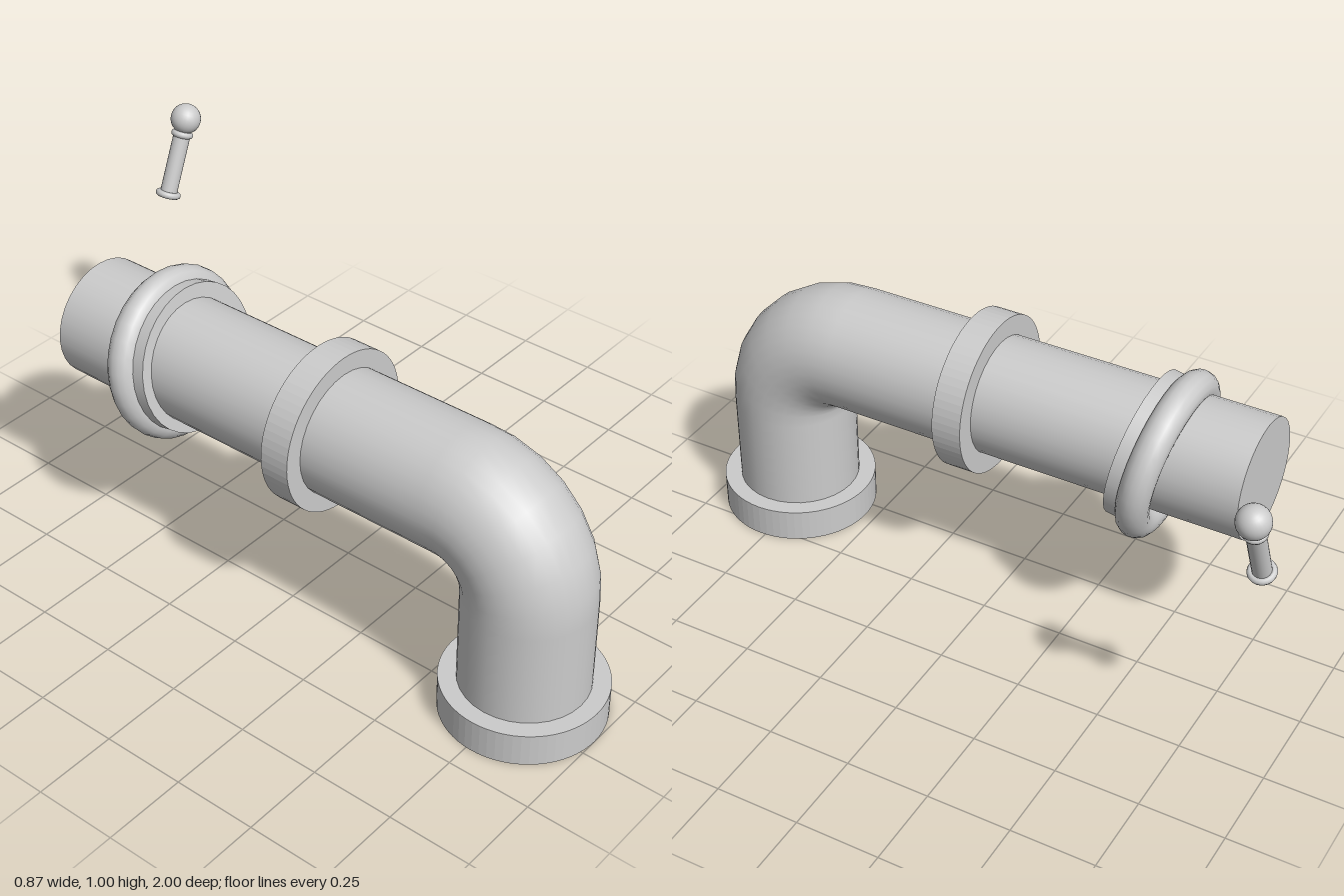
import * as THREE from 'three';

const material = new THREE.MeshStandardMaterial({ color: 0xcccccc, side: THREE.DoubleSide });

function addPart(parent, name, geometry, x = 0, y = 0, z = 0) {
  const mesh = new THREE.Mesh(geometry, material);
  mesh.name = name;
  mesh.position.set(x, y, z);
  parent.add(mesh);
  return mesh;
}

// Flat collar with a round bore, from z = 0 to z = depth
function collarGeometry(outer, inner, depth) {
  const shape = new THREE.Shape().absarc(0, 0, outer, 0, Math.PI * 2, false);
  shape.holes.push(new THREE.Path().absarc(0, 0, inner, 0, Math.PI * 2, true));
  return new THREE.ExtrudeGeometry(shape, { depth, bevelEnabled: false, curveSegments: 32 });
}

export function createModel() {
  const model = new THREE.Group();
  model.name = 'pipeWithLever';

  const pipe = new THREE.Group();
  pipe.name = 'pipe';
  pipe.position.x = -0.195;
  model.add(pipe);

  // Elbow: riser, quarter bend, short horizontal run
  const axisY = 0.62, riserZ = 0.767, bend = 0.217;
  const cornerY = axisY - bend, cornerZ = riserZ - bend, k = bend * 0.5523;
  const v = (y, z) => new THREE.Vector3(0, y, z);
  const path = new THREE.CurvePath();
  path.add(new THREE.LineCurve3(v(0.005, riserZ), v(cornerY, riserZ)));
  path.add(new THREE.CubicBezierCurve3(
    v(cornerY, riserZ), v(cornerY + k, riserZ), v(axisY, cornerZ + k), v(axisY, cornerZ)));
  path.add(new THREE.LineCurve3(v(axisY, cornerZ), v(axisY, 0.1)));
  addPart(pipe, 'elbow', new THREE.TubeGeometry(path, 22, 0.183, 32, false));

  // Collars at the foot and at the joint
  const foot = addPart(pipe, 'footCollar', collarGeometry(0.233, 0.18, 0.1), 0, 0, riserZ);
  foot.rotation.x = -Math.PI / 2;
  addPart(pipe, 'jointCollar', collarGeometry(0.236, 0.174, 0.09), 0, axisY, 0.055);

  // Straight capped pipe
  const straight = addPart(pipe, 'straightPipe',
    new THREE.CylinderGeometry(0.176, 0.176, 0.855, 32), 0, axisY + 0.001, -0.328);
  straight.rotation.x = Math.PI / 2;

  // Tilted wheel: round ring with a flat disc on its front side
  const wheel = new THREE.Group();
  wheel.name = 'tiltedWheel';
  wheel.position.set(-0.186, 0.608, -0.475);
  wheel.rotation.x = -THREE.MathUtils.degToRad(10);
  model.add(wheel);
  addPart(wheel, 'wheelRing', new THREE.TorusGeometry(0.206, 0.047, 16, 32));
  const disc = addPart(wheel, 'wheelDisc',
    new THREE.CylinderGeometry(0.218, 0.218, 0.083, 32), 0, 0, 0.0415);
  disc.rotation.x = Math.PI / 2;

  // Loose lever: origin at the ball, rod running down
  const lever = new THREE.Group();
  lever.name = 'lever';
  lever.position.set(0.39, 0.953, -0.954);
  lever.rotation.z = -THREE.MathUtils.degToRad(23);
  model.add(lever);
  addPart(lever, 'leverBall', new THREE.SphereGeometry(0.046, 24, 16));
  addPart(lever, 'leverRod', new THREE.CylinderGeometry(0.026, 0.026, 0.235, 20), 0, -0.1175, 0);
  const neck = addPart(lever, 'leverNeckRing', new THREE.TorusGeometry(0.024, 0.01, 10, 24), 0, -0.048, 0);
  const end = addPart(lever, 'leverEndRing', new THREE.TorusGeometry(0.029, 0.01, 10, 24), 0, -0.238, 0);
  neck.rotation.x = end.rotation.x = Math.PI / 2;

  return model;
}
